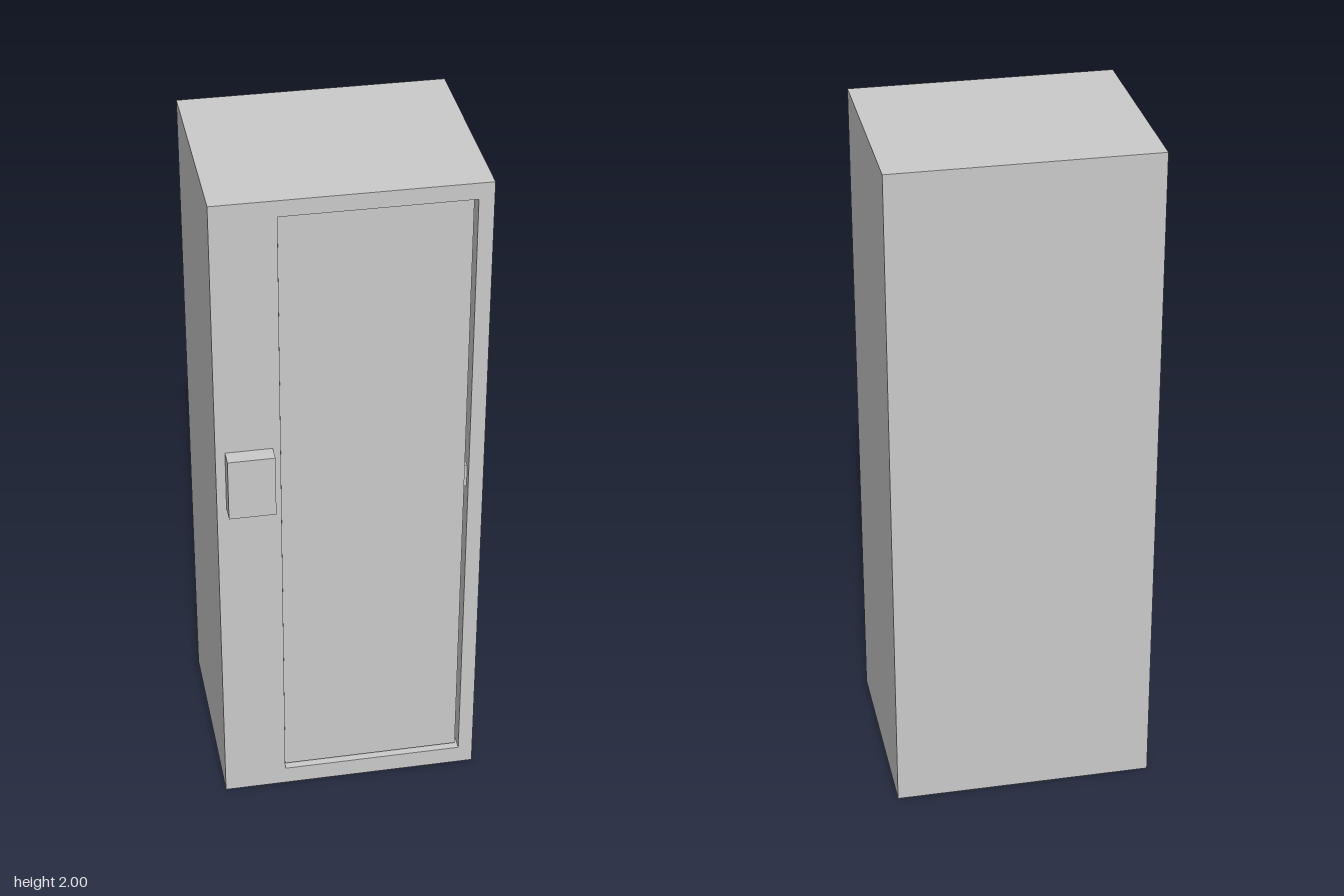
import * as THREE from 'three';

const grey = new THREE.MeshStandardMaterial({ color: 0xcccccc });

// Box given by its lower and upper limits on each axis
function boxBetween([x0, x1], [y0, y1], [z0, z1]) {
  return new THREE.BoxGeometry(x1 - x0, y1 - y0, z1 - z0)
    .translate((x0 + x1) / 2, (y0 + y1) / 2, (z0 + z1) / 2);
}

// Drop the +z side of a box; optionally turn it inside out
function openFront(geometry, inward = false) {
  const index = Array.from(geometry.index.array);
  index.splice(24, 6);
  geometry.setIndex(inward ? index.reverse() : index);
  geometry.clearGroups();
  geometry.computeVertexNormals();
  return geometry;
}

// Trace a rectangle on a shape or path
function rectangle(path, [x0, x1], [y0, y1]) {
  path.moveTo(x0, y0);
  path.lineTo(x1, y0);
  path.lineTo(x1, y1);
  path.lineTo(x0, y1);
  path.closePath();
  return path;
}

export function createModel() {
  const model = new THREE.Group();
  model.name = 'cabinet';
  const add = (name, geometry) => {
    const mesh = new THREE.Mesh(geometry, grey);
    mesh.name = name;
    model.add(mesh);
  };

  const front = 0.285, back = -0.335;
  const width = [-0.38, 0.38], height = [0, 2];
  const openX = [-0.198, 0.337], openY = [0.056, 1.952];

  // Outer casing: sides, top, bottom and back
  add('casing', openFront(boxBetween(width, height, [back, front])));

  // Front face with the doorway cut out
  const face = rectangle(new THREE.Shape(), width, height);
  face.holes.push(rectangle(new THREE.Path(), openX, openY));
  add('frontFrame', new THREE.ShapeGeometry(face).translate(0, 0, front));

  // Recess lining behind the doorway
  add('doorway', openFront(boxBetween(openX, openY, [front - 0.06, front]), true));

  // Door, set slightly back with a narrow gap around it
  add('door', boxBetween([-0.196, 0.328], [0.066, 1.947], [front - 0.05, front - 0.012]));

  // Latch bridging the gap on the opening side
  add('latch', boxBetween([0.328, 0.337], [1.02, 1.09], [front - 0.04, front - 0.02]));

  // Control box beside the door
  add('controlBox', boxBetween([-0.353, -0.22], [1.04, 1.23], [front, 0.333]));

  return model;
}
